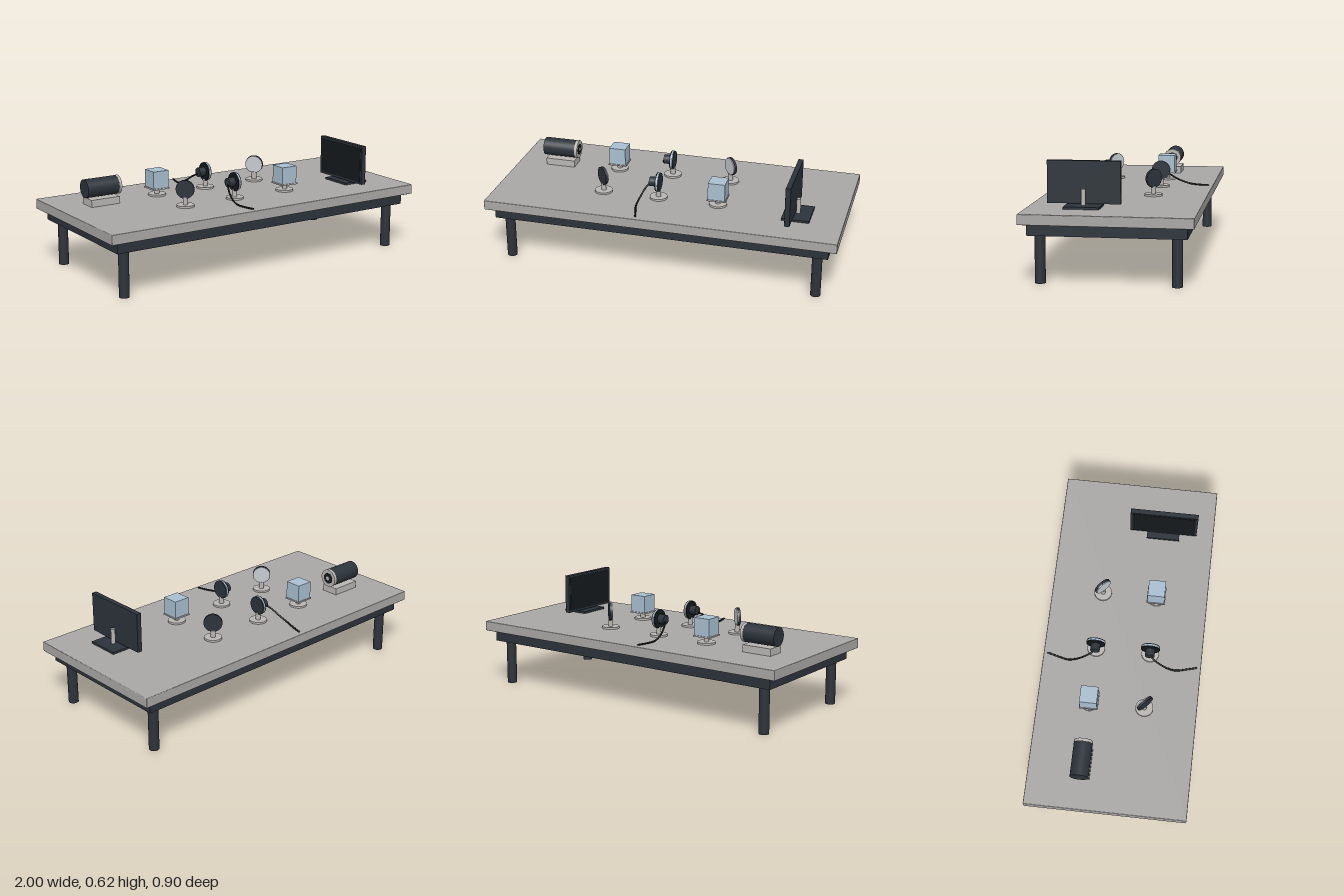
import * as THREE from 'three';
import { RoundedBoxGeometry } from 'three/addons/geometries/RoundedBoxGeometry.js';

const TOP = 0.375;   // table surface
const AXIS = 0.472;  // optical axis height
const ROW = 0.155;   // z offset of the two beam paths

const mat = (name, color) => {
  const m = new THREE.MeshStandardMaterial({ color });
  m.name = name;
  return m;
};

export function createModel() {
  const tableGrey = mat('table grey', 0xaaa8a6);
  const steel = mat('steel', 0xb9b6b3);
  const dark = mat('dark anodised', 0x2c333a);
  const black = mat('black', 0x15191c);
  const glass = mat('pale glass', 0xa9bfd0);
  const mirrorSilver = mat('mirror silver', 0xc6cbd0);

  const model = new THREE.Group();
  model.name = 'opticalBench';

  const add = (parent, name, geo, material, x, y, z) => {
    const m = new THREE.Mesh(geo, material);
    m.name = name;
    m.position.set(x, y, z);
    parent.add(m);
    return m;
  };
  const box = (p, name, material, w, h, d, x, y, z) =>
    add(p, name, new THREE.BoxGeometry(w, h, d), material, x, y, z);
  const cyl = (p, name, material, r, h, x, y, z) =>
    add(p, name, new THREE.CylinderGeometry(r, r, h, 40), material, x, y, z);
  // cylinder lying along x, between x0 and x1
  const rod = (p, name, material, r, x0, x1, y, z) => {
    const m = cyl(p, name, material, r, x1 - x0, (x0 + x1) / 2, y, z);
    m.rotation.z = -Math.PI / 2;
    return m;
  };
  const group = (name, x, z) => {
    const g = new THREE.Group();
    g.name = name;
    g.position.set(x, 0, z);
    model.add(g);
    return g;
  };
  // round foot and short post shared by the mounted optics
  const stand = (g) => {
    cyl(g, 'standFoot', steel, 0.05, 0.011, 0, TOP + 0.0055, 0);
    cyl(g, 'standPost', steel, 0.014, 0.045, 0, TOP + 0.03, 0);
  };

  // Table
  add(model, 'tableTop', new RoundedBoxGeometry(2, 0.056, 0.9, 2, 0.004), tableGrey, 0, TOP - 0.028, 0);
  box(model, 'tableFrame', dark, 1.9, 0.063, 0.824, 0, 0.2885, 0);
  for (const sx of [-1, 1]) for (const sz of [-1, 1])
    cyl(model, 'tableLeg', dark, 0.028, 0.258, sx * 0.885, 0.129, sz * 0.355);

  // Laser
  const laser = group('laser', -0.74, -ROW);
  box(laser, 'laserStand', steel, 0.174, 0.04, 0.104, 0, TOP + 0.02, 0);
  rod(laser, 'laserBody', dark, 0.052, -0.104, 0.092, AXIS, 0);
  rod(laser, 'laserCollar', steel, 0.053, 0.088, 0.104, AXIS, 0);
  rod(laser, 'laserRecess', black, 0.032, 0.1, 0.106, AXIS, 0);
  rod(laser, 'laserAperture', steel, 0.012, 0.1, 0.109, AXIS, 0);

  // Beam splitter cubes
  for (const [x, z] of [[-0.385, -ROW], [0.285, ROW]]) {
    const g = group('beamSplitter', x, z);
    stand(g);
    box(g, 'splitterPlate', steel, 0.106, 0.008, 0.106, 0, 0.42, 0);
    box(g, 'splitterCube', glass, 0.097, 0.1, 0.097, 0, 0.473, 0);
  }

  // Turning mirrors at 45 degrees, backs turned away from the beam
  for (const [x, z, turn] of [[-0.385, ROW, Math.PI / 4], [0.285, -ROW, -Math.PI * 0.75]]) {
    const g = group('mirror', x, z);
    g.rotation.y = turn;
    stand(g);
    rod(g, 'mirrorCell', dark, 0.052, -0.01, 0.004, AXIS, 0);
    rod(g, 'mirrorFace', mirrorSilver, 0.049, 0.003, 0.009, AXIS, 0);
  }

  // Phase modulators with a trailing cable
  for (const s of [-1, 1]) {
    const g = group('modulator', -0.06, s * ROW);
    stand(g);
    rod(g, 'modulatorBackRing', black, 0.053, -0.01, -0.003, AXIS, 0);
    rod(g, 'modulatorDisc', glass, 0.054, -0.003, 0.005, AXIS, 0);
    rod(g, 'modulatorFront', dark, 0.052, 0.004, 0.011, AXIS, 0);
    rod(g, 'modulatorHousing', dark, 0.027, -0.05, -0.008, AXIS, 0);
    const path = [[-0.045, 0.465, 0], [-0.065, 0.445, 0.035], [-0.082, 0.41, 0.09],
      [-0.088, 0.387, 0.15], [-0.075, 0.381, 0.205], [-0.058, 0.381, 0.268]]
      .map(([x, y, z]) => new THREE.Vector3(x, y, z * s));
    const cable = new THREE.TubeGeometry(new THREE.CatmullRomCurve3(path), 40, 0.005, 10);
    add(g, 'cable', cable, black, 0, 0, 0);
    const end = path[path.length - 1];
    add(g, 'cableEnd', new THREE.SphereGeometry(0.005, 10, 8), black, end.x, end.y, end.z);
  }

  // Viewing screen
  const screen = group('screen', 0.71, ROW);
  box(screen, 'screenBase', dark, 0.155, 0.012, 0.19, 0.027, TOP + 0.006, 0);
  cyl(screen, 'screenPost', steel, 0.012, 0.09, 0.029, 0.427, 0);
  box(screen, 'screenPanel', dark, 0.028, 0.226, 0.39, 0, 0.505, 0);
  box(screen, 'screenDisplay', black, 0.004, 0.202, 0.366, -0.0145, 0.505, 0);

  return model;
}
